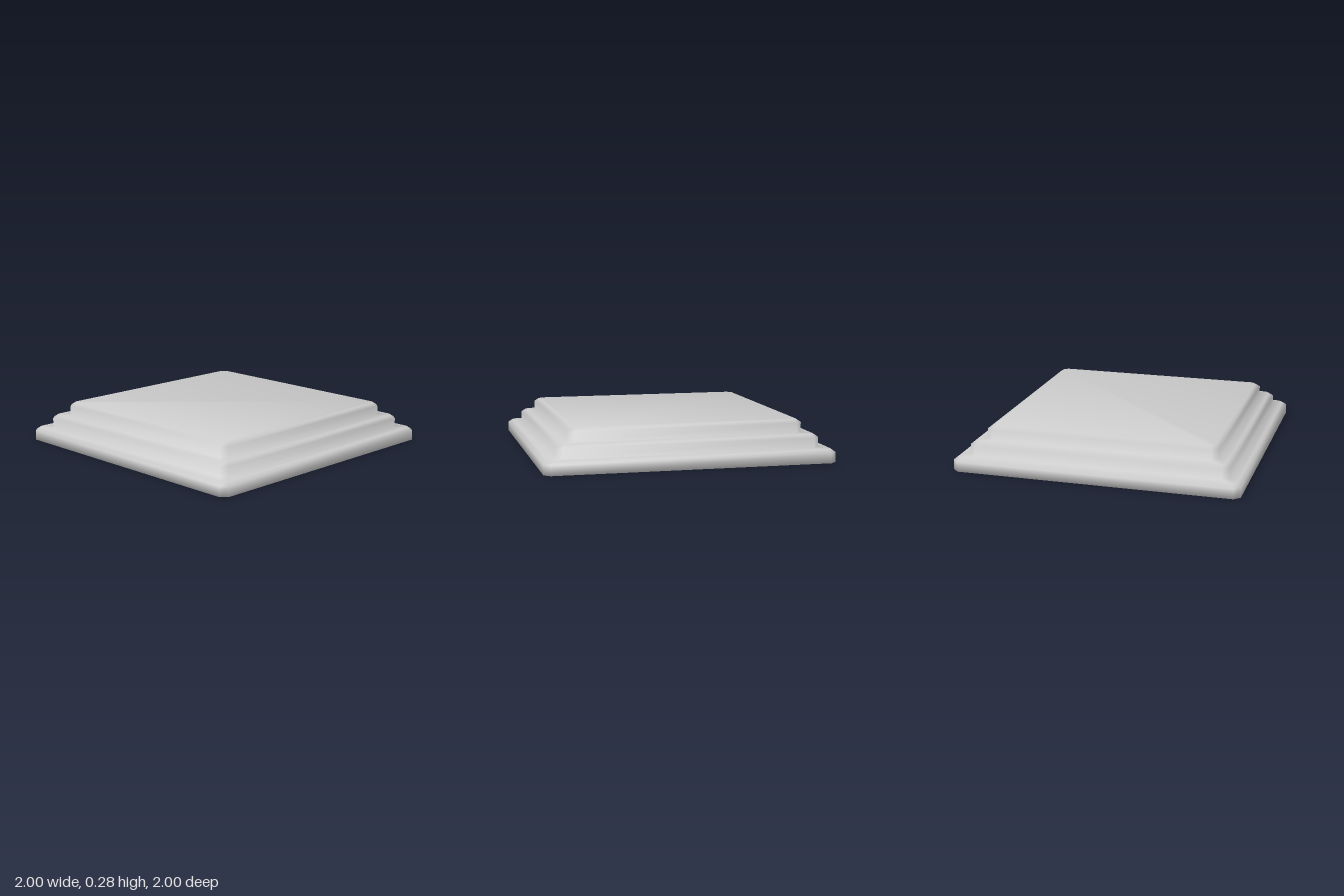
import * as THREE from 'three';

const TIERS = 3, TIER_HEIGHT = 0.0925, STEP = 0.0925;
const BEVEL_IN = 0.03, BEVEL_DOWN = 0.023, CORNER = 0.042;

// Outline of the steps from the ground up: half width, height, corner cut
function stepProfile() {
  const rings = [];
  for (let t = 0; t < TIERS; t++) {
    const half = 1 - t * STEP, y = t * TIER_HEIGHT, top = y + TIER_HEIGHT;
    rings.push([half, y, CORNER], [half, top - BEVEL_DOWN, CORNER], [half - BEVEL_IN, top, CORNER * 0.75]);
  }
  return rings;
}

// Lofts clipped-corner squares through the profile, with softly blended normals
function loftSteps(rings) {
  const positions = [], normals = [], index = [], n = 8;
  const segments = rings.slice(1).map(([h, y], i) =>
    new THREE.Vector2(y - rings[i][1], rings[i][0] - h).normalize());
  const down = new THREE.Vector2(0, -1), up = new THREE.Vector2(0, 1);

  rings.forEach(([h, y, c], i) => {
    const slope = (segments[i - 1] ?? down).clone().add(segments[i] ?? up).normalize();
    let corners = [[h, h - c], [h - c, h]];
    for (let q = 0; q < 4; q++) {
      corners.forEach(([x, z], k) => {
        const a = Math.PI * (q / 2 + 1 / 8 + k / 4);
        positions.push(x, y, z);
        normals.push(Math.cos(a) * slope.x, slope.y, Math.sin(a) * slope.x);
      });
      corners = corners.map(([x, z]) => [-z, x]);
    }
  });

  // Walls, bevels and treads
  for (let i = 0; i < rings.length - 1; i++) {
    for (let j = 0; j < n; j++) {
      const a = i * n + j, b = i * n + (j + 1) % n;
      index.push(a, a + n, b, b, a + n, b + n);
    }
  }
  // Underside and top platform
  const last = (rings.length - 1) * n;
  for (let j = 1; j < n - 1; j++) {
    index.push(0, j, j + 1, last, last + j + 1, last + j);
  }

  const geometry = new THREE.BufferGeometry();
  geometry.setAttribute('position', new THREE.Float32BufferAttribute(positions, 3));
  geometry.setAttribute('normal', new THREE.Float32BufferAttribute(normals, 3));
  geometry.setIndex(index);
  return geometry;
}

export function createModel() {
  const group = new THREE.Group();
  group.name = 'steppedPlatform';
  const steps = new THREE.Mesh(loftSteps(stepProfile()), new THREE.MeshStandardMaterial({ color: 0xcccccc }));
  steps.name = 'platformSteps';
  group.add(steps);
  return group;
}
